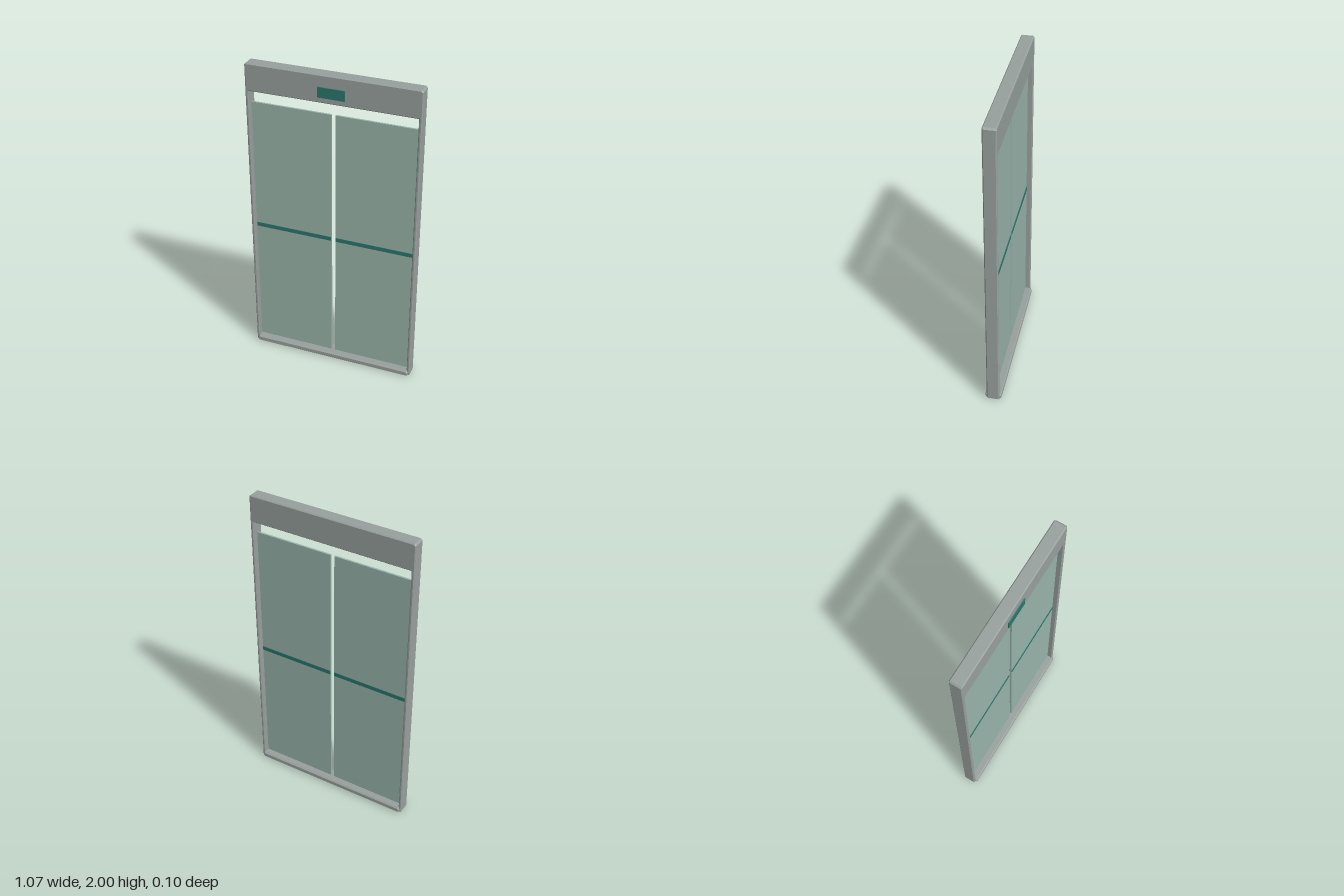
import * as THREE from 'three';

const frameGrey = new THREE.MeshStandardMaterial({ color: 0x98a19e });
frameGrey.name = 'frameGrey';
const glassGreen = new THREE.MeshStandardMaterial({ color: 0x99b5ab });
glassGreen.name = 'glassGreen';
const accentTeal = new THREE.MeshStandardMaterial({ color: 0x2b766c });
accentTeal.name = 'accentTeal';

function add(group, name, geometry, material, x = 0, y = 0, z = 0) {
  const mesh = new THREE.Mesh(geometry, material);
  mesh.name = name;
  mesh.position.set(x, y, z);
  group.add(mesh);
}

// Extrudes an outline along z, centred, with chamfered front and back edges
function chamferedExtrude(points, depth, bevel) {
  const shape = new THREE.Shape(points.map(([x, y]) => new THREE.Vector2(x, y)));
  const geometry = new THREE.ExtrudeGeometry(shape, {
    depth: depth - 2 * bevel, bevelEnabled: true, bevelSegments: 1,
    bevelSize: bevel, bevelThickness: bevel, bevelOffset: -bevel,
  });
  return geometry.translate(0, 0, -depth / 2 + bevel);
}

export function createModel() {
  const model = new THREE.Group();
  model.name = 'slidingDoor';

  // Side posts and deep header in one chamfered surround
  const W = 0.537, inner = 0.516, c = 0.01, headerBottom = 1.827;
  add(model, 'frame', chamferedExtrude([
    [-W + c, 0], [-inner, 0], [-inner, headerBottom], [inner, headerBottom],
    [inner, 0], [W - c, 0], [W, c], [W, 2 - c], [W - c, 2],
    [-W + c, 2], [-W, 2 - c], [-W, c],
  ], 0.08, 0.006), frameGrey);

  // Floor sill, slightly deeper than the posts
  const sw = 0.527, sc = 0.01, sh = 0.04;
  add(model, 'sill', chamferedExtrude([
    [-sw + sc, 0], [sw - sc, 0], [sw, sc], [sw, sh - sc], [sw - sc, sh],
    [-sw + sc, sh], [-sw, sh - sc], [-sw, sc],
  ], 0.102, 0.008), frameGrey);

  // Pair of door leaves with a band on both faces
  const leafWidth = 0.503, leafX = 0.0125 + leafWidth / 2;
  const bottom = 0.03, top = 1.747, thickness = 0.012;
  for (const [side, s] of [['left', 1], ['right', -1]]) {
    const leaf = new THREE.Group();
    leaf.name = `${side}Leaf`;
    leaf.position.x = s * leafX;
    add(leaf, 'panel', new THREE.BoxGeometry(leafWidth, top - bottom, thickness),
      glassGreen, 0, (top + bottom) / 2);
    for (const [face, f] of [['front', 1], ['back', -1]]) {
      add(leaf, `${face}Band`, new THREE.BoxGeometry(leafWidth - 0.004, 0.026, 0.004),
        accentTeal, 0, 0.904, f * (thickness / 2 + 0.001));
    }
    model.add(leaf);
  }

  // Sensor plate on the header
  add(model, 'sensorPlate', new THREE.BoxGeometry(0.166, 0.064, 0.008),
    accentTeal, 0, 1.894, 0.042);

  return model;
}
